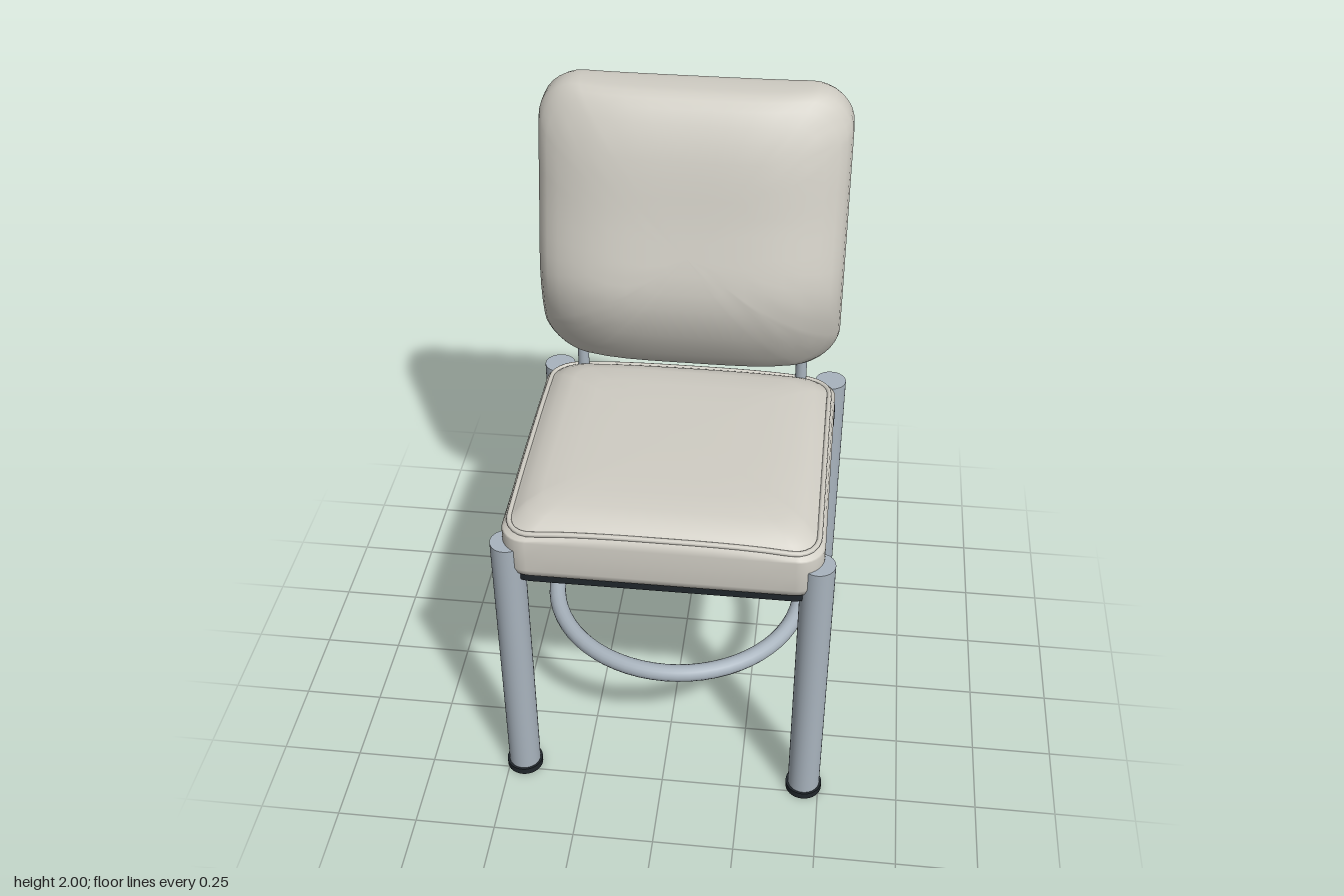
import * as THREE from 'three';

const material = (color) => new THREE.MeshStandardMaterial({ color });

// Points around a rounded rectangle, counter-clockwise, centred on the origin
function outline(halfW, halfH, r, arcSteps = 8, sideSteps = 10) {
  const points = [];
  const corners = [[1, 1], [-1, 1], [-1, -1], [1, -1]];
  const arcPoint = (k, t) => {
    const [sx, sy] = corners[k % 4];
    const a = (k + t) * Math.PI / 2;
    return new THREE.Vector2(sx * (halfW - r) + r * Math.cos(a), sy * (halfH - r) + r * Math.sin(a));
  };
  for (let k = 0; k < 4; k++) {
    for (let i = 0; i <= arcSteps; i++) points.push(arcPoint(k, i / arcSteps));
    const from = arcPoint(k, 1), to = arcPoint(k + 1, 0);
    for (let i = 1; i < sideSteps; i++) points.push(from.clone().lerp(to, i / sideSteps));
  }
  return points;
}

// Skin over scaled copies of an outline; layers are [scale, depth]
function cushion(points, layers, place) {
  const positions = [], index = [], n = points.length;
  layers.forEach(([s, d], i) => {
    points.forEach((p, j) => {
      positions.push(...place(p.x * s, p.y * s, d, s));
      if (i === layers.length - 1) return;
      const a = i * n + j, b = i * n + (j + 1) % n;
      index.push(a, b, b + n, a, b + n, a + n);
    });
  });
  const geometry = new THREE.BufferGeometry();
  geometry.setAttribute('position', new THREE.Float32BufferAttribute(positions, 3));
  geometry.setIndex(index);
  geometry.computeVertexNormals();
  return geometry;
}

// Straight-line interpolation through [x, y] pairs, eased between them
function profile(table, x) {
  let i = 0;
  while (i < table.length - 2 && x > table[i + 1][0]) i++;
  const [x0, y0] = table[i], [x1, y1] = table[i + 1];
  return THREE.MathUtils.lerp(y0, y1, THREE.MathUtils.clamp((x - x0) / (x1 - x0), 0, 1));
}

export function createModel() {
  const model = new THREE.Group();
  const upholstery = material(0xd0cdc4);
  const metal = material(0xa9b4be);
  const rubber = material(0x20262b);
  const lining = material(0x8a8680);

  const add = (name, geometry, mat, x = 0, y = 0, z = 0) => {
    const mesh = new THREE.Mesh(geometry, mat);
    mesh.name = name;
    mesh.position.set(x, y, z);
    model.add(mesh);
    return mesh;
  };

  // Legs with rubber feet
  const legGeometry = new THREE.CylinderGeometry(0.05, 0.05, 0.93, 32);
  const footGeometry = new THREE.CylinderGeometry(0.057, 0.057, 0.022, 32);
  for (const [side, x] of [['left', 0.453], ['right', -0.453]]) {
    for (const [end, z] of [['Front', 0.47], ['Back', -0.445]]) {
      add(`${side}${end}Leg`, legGeometry, metal, x, 0.485, z);
      add(`${side}${end}Foot`, footGeometry, rubber, x, 0.011, z);
    }
  }

  // Foot ring
  add('footRing', new THREE.TorusGeometry(0.402, 0.027, 16, 64), metal, 0, 0.403, 0.012).rotation.x = Math.PI / 2;

  // Seat cushion with a domed top, sagging a little at the corners
  const seatZ = 0.07;
  const cornerSag = (u, v) => 0.02 * Math.pow(Math.abs(u * v) / 0.19, 3);
  const seatOutline = outline(0.47, 0.45, 0.08);
  const seatLayers = [
    [0, 0.855], [0.95, 0.855], [0.985, 0.862], [1, 0.885], [1, 0.94], [1, 0.99], [0.99, 1.01], [0.965, 1.02],
    [0.945, 1.023], [0.92, 1.033], [0.86, 1.05], [0.77, 1.062], [0.6, 1.068], [0.35, 1.07], [0, 1.07],
  ];
  add('seatCushion', cushion(seatOutline, seatLayers,
    (u, v, d) => [u, d - (d > 1 ? cornerSag(u, v) : 0), seatZ - v]), upholstery);

  // Piping around the top of the seat
  const seam = seatOutline.map((p) => {
    const u = p.x * 0.958, v = p.y * 0.958;
    return new THREE.Vector3(u, 1.022 - cornerSag(u, v), seatZ - v);
  });
  add('seatPiping', new THREE.TubeGeometry(new THREE.CatmullRomCurve3(seam, true), 160, 0.008, 8, true), upholstery);

  // Frame under the seat, with the lining in its opening
  const frameShape = new THREE.Shape(outline(0.455, 0.435, 0.07));
  frameShape.holes.push(new THREE.Path(outline(0.36, 0.34, 0.02).reverse()));
  const frameGeometry = new THREE.ExtrudeGeometry(frameShape, { depth: 0.03, bevelEnabled: false });
  add('seatFrame', frameGeometry, rubber, 0, 0.832, seatZ).rotation.x = -Math.PI / 2;
  add('seatLining', new THREE.BoxGeometry(0.74, 0.01, 0.7), lining, 0, 0.848, seatZ);

  // Back posts and the dark brackets at the rear corners of the seat
  const postGeometry = new THREE.CylinderGeometry(0.018, 0.018, 0.36, 20);
  const bracketGeometry = new THREE.CylinderGeometry(0.027, 0.027, 0.08, 20);
  for (const [side, s] of [['left', 1], ['right', -1]]) {
    add(`${side}BackPost`, postGeometry, metal, s * 0.355, 1.06, -0.35);
    add(`${side}Bracket`, bracketGeometry, rubber, s * 0.446, 0.88, -0.343);
  }

  // Backrest cushion: leaning flat back, front swelling at lumbar height
  const frontProfile = [
    [1.1, -0.255], [1.16, -0.222], [1.22, -0.187], [1.3, -0.155], [1.37, -0.142], [1.43, -0.141], [1.5, -0.155],
    [1.65, -0.197], [1.8, -0.232], [1.88, -0.258], [1.95, -0.295], [2, -0.33],
  ];
  const backLayers = [
    [0, 0], [0.5, 0], [0.86, 0], [0.92, 0.02], [0.965, 0.08], [0.99, 0.2], [1, 0.35], [1, 0.55], [1, 0.75],
    [0.99, 0.88], [0.965, 0.96], [0.92, 1], [0.84, 1], [0.74, 1], [0.62, 1], [0.5, 1], [0.38, 1], [0.25, 1],
    [0.12, 1], [0, 1],
  ];
  add('backrestCushion', cushion(outline(0.47, 0.45, 0.13), backLayers, (u, v, d) => {
    const y = 1.55 + v;
    const back = -0.432 - 0.115 * (y - 1.1) + 0.03 * THREE.MathUtils.smoothstep(y, 1.85, 2);
    const front = profile(frontProfile, y) - 0.11 * Math.pow(Math.abs(u) / 0.47, 4);
    return [u, y, THREE.MathUtils.lerp(back, front, d)];
  }), upholstery);

  return model;
}
